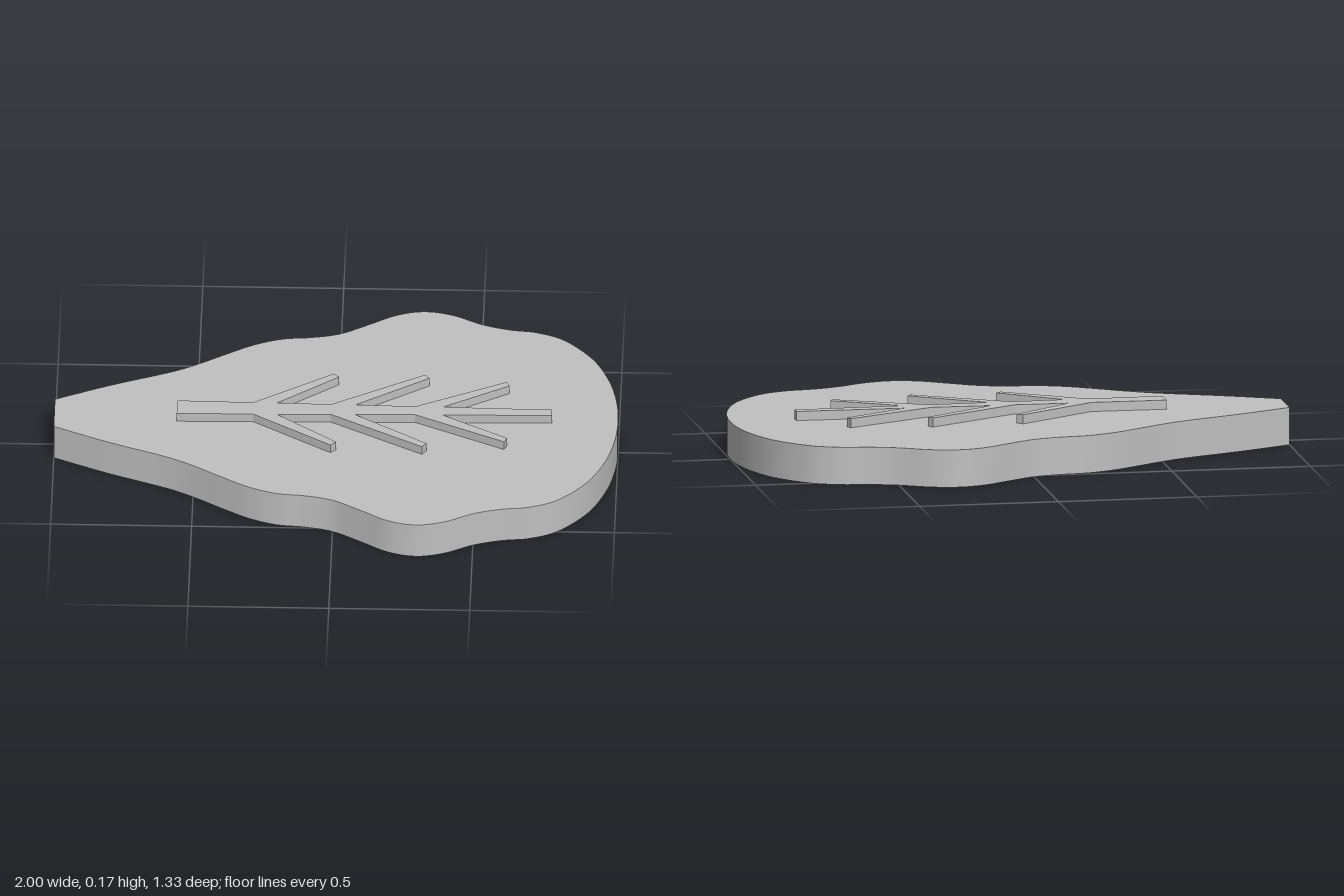
import * as THREE from 'three';
import { mergeGeometries, toCreasedNormals } from 'three/addons/utils/BufferGeometryUtils.js';

const BODY_H = 0.135, VEIN_H = 0.168, HOLE_DEPTH = 0.1, HOLE_R = 0.168;

// Completes a half profile (stem to tip) with its mirror image, counter-clockwise.
function mirrored(half) {
  const lower = half.map(([x, w]) => new THREE.Vector2(x, -w));
  const upper = half.filter(([, w]) => w > 0).map(([x, w]) => new THREE.Vector2(x, w)).reverse();
  return [...lower, ...upper];
}

// Upright wall along a closed loop; it faces outwards for counter-clockwise loops.
function wall(loop, y0, y1) {
  const pos = [];
  loop.forEach((a, i) => {
    const b = loop[(i + 1) % loop.length];
    const a0 = [a.x, y0, -a.y], b0 = [b.x, y0, -b.y];
    const a1 = [a.x, y1, -a.y], b1 = [b.x, y1, -b.y];
    pos.push(...a0, ...b0, ...b1, ...a0, ...b1, ...a1);
  });
  const g = new THREE.BufferGeometry();
  g.setAttribute('position', new THREE.Float32BufferAttribute(pos, 3));
  return g;
}

// Flat cap, facing up or down.
function cap(shape, y, up) {
  const g = new THREE.ShapeGeometry(shape).toNonIndexed();
  g.rotateX(up ? -Math.PI / 2 : Math.PI / 2).translate(0, y, 0);
  g.deleteAttribute('uv');
  g.deleteAttribute('normal');
  return g;
}

function circle(x, y, r, n = 64) {
  return Array.from({ length: n }, (_, i) => {
    const t = (i / n) * Math.PI * 2;
    return new THREE.Vector2(x + r * Math.cos(t), y + r * Math.sin(t));
  });
}

export function createModel() {
  const group = new THREE.Group();
  group.name = 'leafPlate';
  const grey = new THREE.MeshStandardMaterial({ color: 0xc0c0c0 });
  grey.name = 'light grey';

  // Wavy leaf outline: x and half width
  const half = [
    [-1, 0.085], [-0.8, 0.18], [-0.6, 0.263], [-0.5, 0.317], [-0.4, 0.383], [-0.3, 0.445],
    [-0.2, 0.483], [-0.1, 0.495], [0, 0.52], [0.1, 0.58], [0.2, 0.643], [0.3, 0.667],
    [0.4, 0.645], [0.5, 0.592], [0.6, 0.561], [0.7, 0.545], [0.8, 0.497], [0.9, 0.385],
    [0.96, 0.255], [0.99, 0.13], [1, 0],
  ];
  const outline = new THREE.SplineCurve(mirrored(half)).getPoints(200);

  // Leaf body with two blind round pockets underneath
  const underside = new THREE.Shape(outline);
  const parts = [cap(new THREE.Shape(outline), BODY_H, true), wall(outline, 0, BODY_H)];
  for (const side of [-1, 1]) {
    const ring = circle(0.123, side * 0.267, HOLE_R);
    const inward = [...ring].reverse();
    underside.holes.push(new THREE.Path(inward));
    parts.push(wall(inward, 0, HOLE_DEPTH), cap(new THREE.Shape(ring), HOLE_DEPTH, false));
  }
  parts.push(cap(underside, 0, false));
  const body = new THREE.Mesh(toCreasedNormals(mergeGeometries(parts), 0.5), grey);
  body.name = 'leafBody';
  group.add(body);

  // Raised midrib with three pairs of side veins
  const veinHalf = [
    [-0.565, 0.041], [-0.295, 0.036],
    [-0.015, 0.223], [0.005, 0.203], [-0.21, 0.036], [-0.02, 0.031],
    [0.31, 0.225], [0.325, 0.203], [0.068, 0.031], [0.28, 0.026],
    [0.6, 0.187], [0.61, 0.163], [0.378, 0.025], [0.765, 0.018],
  ];
  const veinGeo = new THREE.ExtrudeGeometry(new THREE.Shape(mirrored(veinHalf)), {
    depth: VEIN_H - BODY_H, bevelEnabled: false,
  });
  veinGeo.rotateX(-Math.PI / 2).translate(0, BODY_H, 0);
  const veins = new THREE.Mesh(veinGeo, grey);
  veins.name = 'leafVeins';
  group.add(veins);

  return group;
}
